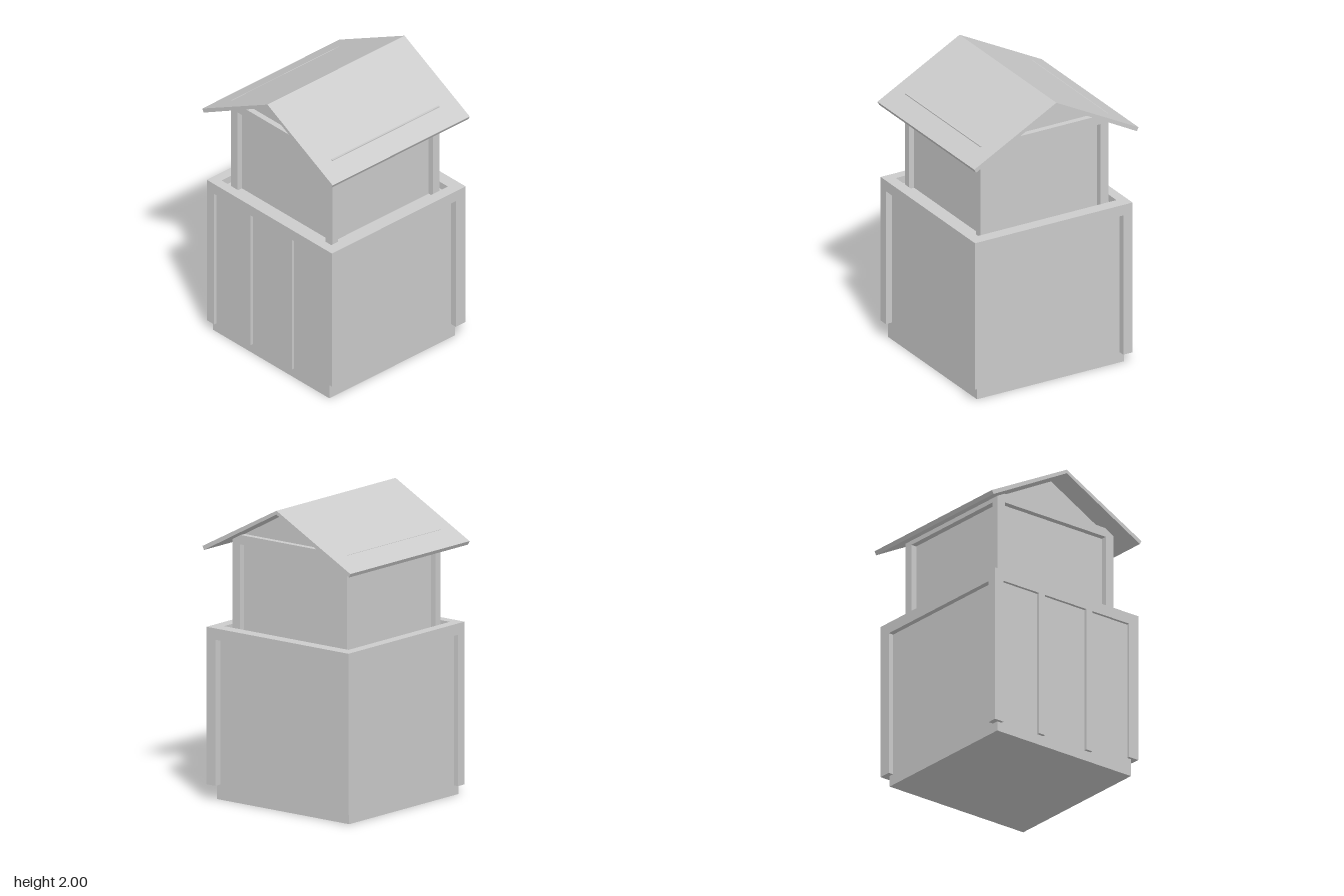
import * as THREE from 'three';

const material = new THREE.MeshStandardMaterial({ color: 0xcccccc, flatShading: true });

// Box given by its min/max limits on each axis
function addBox(parent, name, [x0, x1], [y0, y1], [z0, z1]) {
  const mesh = new THREE.Mesh(new THREE.BoxGeometry(x1 - x0, y1 - y0, z1 - z0), material);
  mesh.name = name;
  mesh.position.set((x0 + x1) / 2, (y0 + y1) / 2, (z0 + z1) / 2);
  parent.add(mesh);
}

// Profile of [z, y] points, extruded along x from x0 to x1
function addProfile(parent, name, points, x0, x1) {
  const shape = new THREE.Shape(points.map(([z, y]) => new THREE.Vector2(-z, y)));
  const geometry = new THREE.ExtrudeGeometry(shape, { depth: x1 - x0, bevelEnabled: false });
  geometry.rotateY(Math.PI / 2).translate(x0, 0, 0);
  const mesh = new THREE.Mesh(geometry, material);
  mesh.name = name;
  parent.add(mesh);
}

// Rectangular ring of beams, extruded upward from y0 to y1
function addRing(parent, name, outer, inner, y0, y1) {
  const corners = ([x0, x1], [z0, z1]) =>
    [[x0, -z0], [x0, -z1], [x1, -z1], [x1, -z0]].map(([x, y]) => new THREE.Vector2(x, y));
  const shape = new THREE.Shape(corners(...outer));
  shape.holes.push(new THREE.Path(corners(...inner)));
  const geometry = new THREE.ExtrudeGeometry(shape, { depth: y1 - y0, bevelEnabled: false });
  geometry.rotateX(-Math.PI / 2).translate(0, y0, 0);
  const mesh = new THREE.Mesh(geometry, material);
  mesh.name = name;
  parent.add(mesh);
}

// Top ring plus four corner posts; bottoms are [x side][z side]
function addFrame(parent, prefix, outer, inner, y0, y1, bottoms) {
  addRing(parent, prefix + 'TopBeams', outer, inner, y0, y1);
  const side = (o, i, k) => (k ? [i[1], o[1]] : [o[0], i[0]]);
  for (const i of [0, 1]) {
    for (const j of [0, 1]) {
      addBox(parent, prefix + 'CornerPost', side(outer[0], inner[0], i),
        [bottoms[i][j], y0], side(outer[1], inner[1], j));
    }
  }
}

export function createModel() {
  const model = new THREE.Group();
  model.name = 'tower';

  // Lower storey: solid block in a raised frame
  const lower = new THREE.Group();
  lower.name = 'lowerStorey';
  model.add(lower);
  addBox(lower, 'lowerWalls', [-0.57, 0.53], [0, 1.09], [-0.55, 0.555]);
  addFrame(lower, 'lower', [[-0.59, 0.58], [-0.585, 0.6]], [[-0.525, 0.495], [-0.515, 0.525]],
    1.065, 1.14, [[0.065, 0.12], [0.075, 0.1]]);

  // Two slim studs on the -x side
  for (const z of [-0.195, 0.195]) {
    addBox(lower, 'sideStud', [-0.59, -0.55], [0.07, 1.065], [z - 0.025, z + 0.025]);
  }

  // Upper storey: recessed walls rising into gables, with its own frame
  const upper = new THREE.Group();
  upper.name = 'upperStorey';
  model.add(upper);
  addProfile(upper, 'gabledWalls',
    [[-0.435, 1.08], [0.445, 1.08], [0.445, 1.745], [0, 1.985], [-0.435, 1.75]], -0.44, 0.42);
  addFrame(upper, 'upper', [[-0.48, 0.46], [-0.475, 0.485]], [[-0.43, 0.4], [-0.415, 0.42]],
    1.69, 1.752, [[1.08, 1.08], [1.08, 1.08]]);

  // Thin pitched roof
  addProfile(model, 'roof',
    [[0, 2], [-0.618, 1.675], [-0.605, 1.65], [0, 1.975], [0.605, 1.65], [0.618, 1.675]], -0.6, 0.6);

  return model;
}
